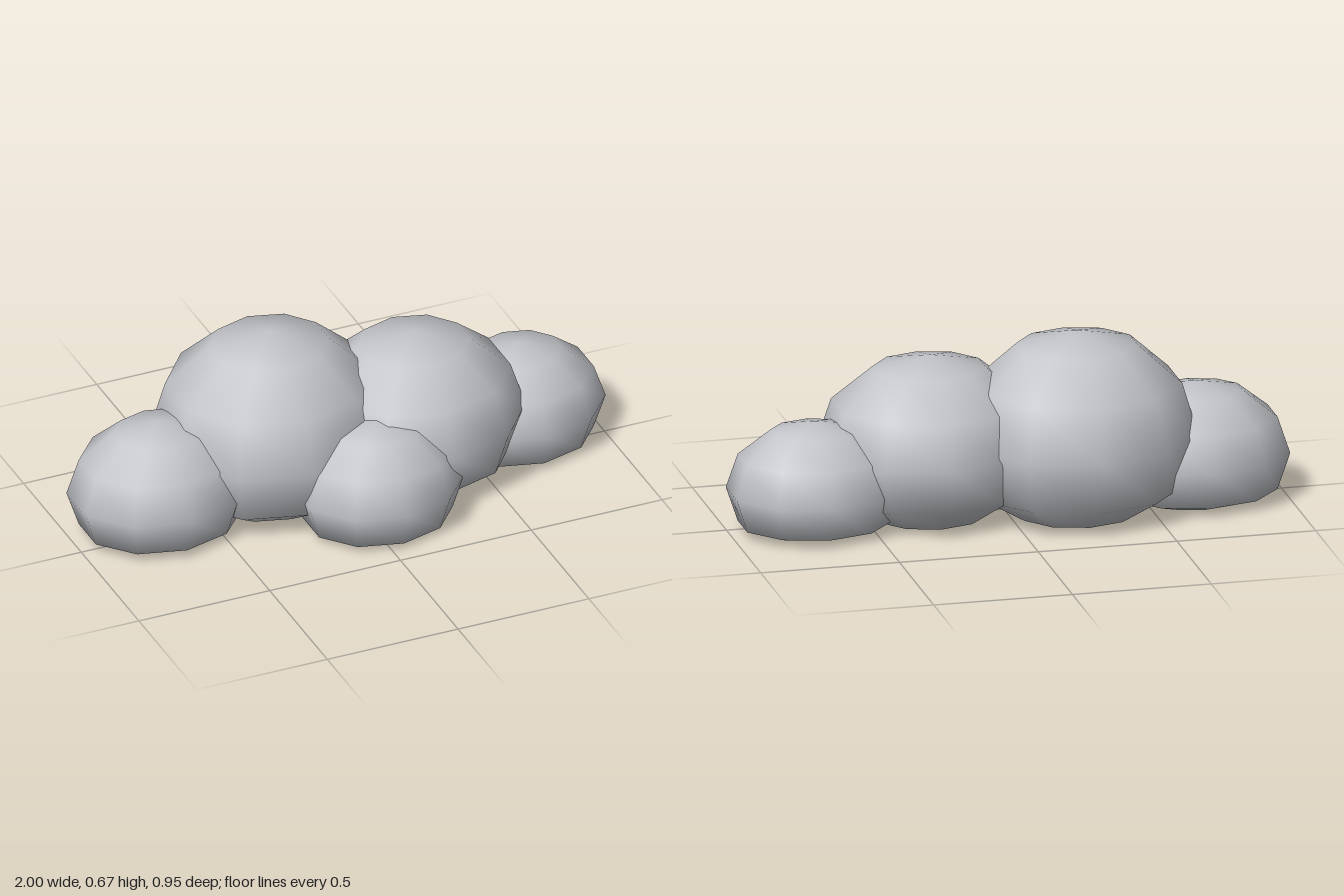
import * as THREE from 'three';
import { mergeVertices } from 'three/addons/utils/BufferGeometryUtils.js';

// Low-sided, smooth-shaded ellipsoid whose underside is flattened onto the ground
function puffGeometry([cx, cy, cz], [rx, ry, rz]) {
  let geo = new THREE.SphereGeometry(1, 10, 6);
  geo.rotateY(Math.PI / 2);
  geo.scale(rx, ry, rz);
  geo.translate(cx, cy, cz);
  const pos = geo.attributes.position;
  for (let i = 0; i < pos.count; i++) {
    const y = pos.getY(i);
    if (y < 0.005) pos.setY(i, Math.max(0, 0.005 + y * 0.06));
  }
  // Weld the seam so the normals run smoothly all round
  geo.deleteAttribute('uv');
  geo.deleteAttribute('normal');
  geo = mergeVertices(geo, 1e-4);
  geo.computeVertexNormals();
  return geo;
}

export function createModel() {
  const group = new THREE.Group();
  group.name = 'cloud';
  const cloudGrey = new THREE.MeshStandardMaterial({ color: 0xc2c4c9 });
  cloudGrey.name = 'cloudGrey';

  // name, centre, radii
  const puffs = [
    ['largePuff', [-0.24, 0.288, -0.094], [0.43, 0.382, 0.385]],
    ['mediumPuff', [0.27, 0.262, -0.005], [0.402, 0.328, 0.36]],
    ['rightPuff', [-0.68, 0.17, -0.045], [0.336, 0.265, 0.275]],
    ['leftPuff', [0.7, 0.155, -0.07], [0.315, 0.245, 0.265]],
    ['frontPuff', [0.04, 0.153, 0.213], [0.31, 0.255, 0.262]],
  ];
  for (const [name, centre, radii] of puffs) {
    const mesh = new THREE.Mesh(puffGeometry(centre, radii), cloudGrey);
    mesh.name = name;
    group.add(mesh);
  }
  return group;
}
